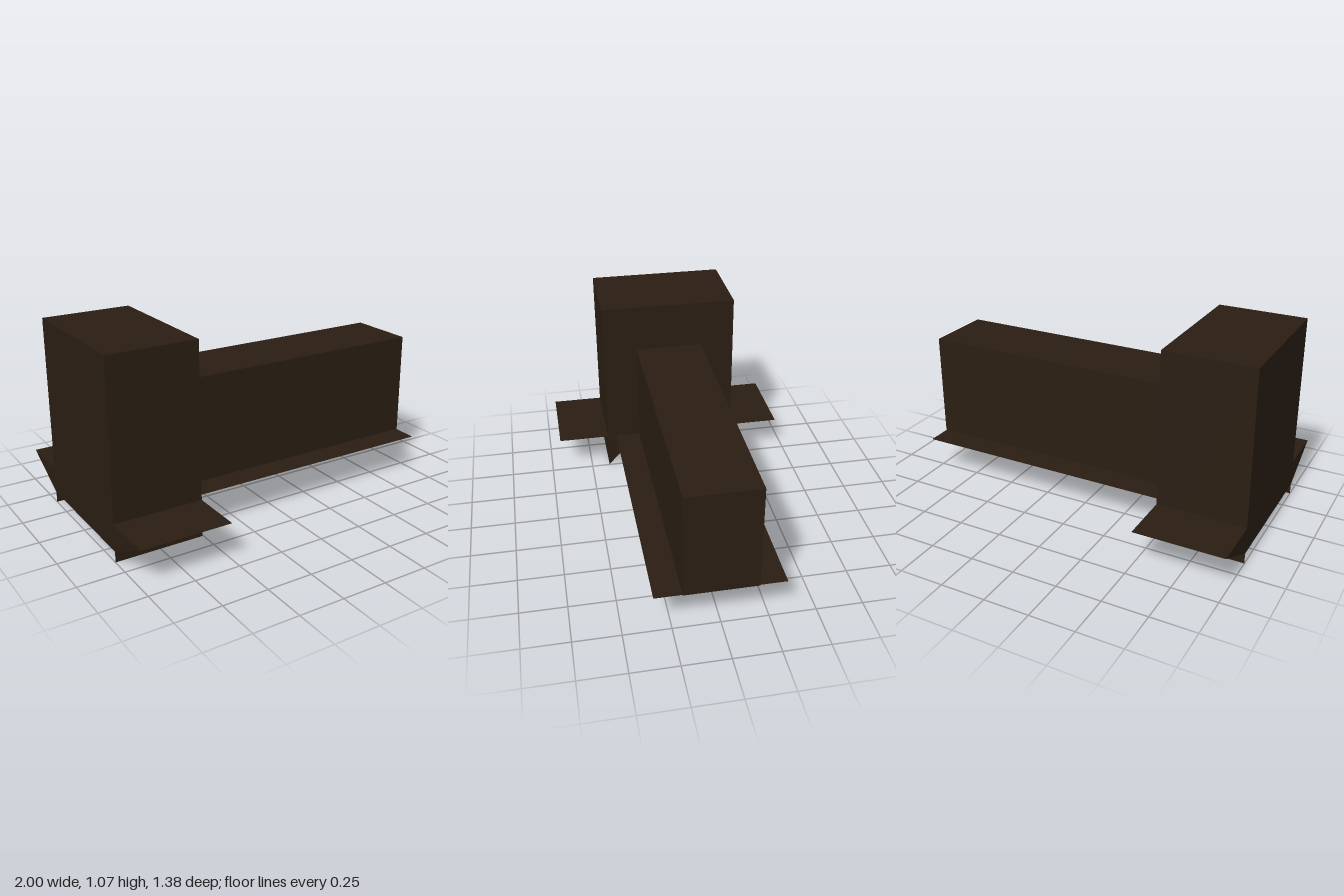
import * as THREE from 'three';

const material = new THREE.MeshStandardMaterial({
  color: 0x2a1e13, flatShading: true, side: THREE.DoubleSide,
});

export function createModel() {
  const model = new THREE.Group();

  const add = (name, geometry) => {
    const mesh = new THREE.Mesh(geometry, material);
    mesh.name = name;
    model.add(mesh);
  };
  // Horizontal sheet at height y
  const sheet = (name, y, x0, x1, z0, z1) => add(name,
    new THREE.PlaneGeometry(x1 - x0, z1 - z0).rotateX(-Math.PI / 2)
      .translate((x0 + x1) / 2, y, (z0 + z1) / 2));
  // Long wall facing +z or -z
  const wall = (name, z, x0, x1, y0, y1) => add(name,
    new THREE.PlaneGeometry(x1 - x0, y1 - y0).rotateY(z > 0 ? 0 : Math.PI)
      .translate((x0 + x1) / 2, (y0 + y1) / 2, z));
  // End panel across x, mirrored from its half outline of [z, y] points;
  // side is +1 or -1 for the way it faces
  const endPanel = (name, x, side, half) => {
    const outline = [...half, ...half.map(([z, y]) => [-z, y]).reverse()];
    const shape = new THREE.Shape(outline.map(([z, y]) => new THREE.Vector2(-side * z, y)));
    add(name, new THREE.ShapeGeometry(shape).rotateY(side * Math.PI / 2).translate(x, 0, 0));
  };

  const floorY = 0.21, join = -0.505;

  // Tall block: open underneath, notched inner end, flared outer end
  sheet('towerTop', 1.07, -1, join, -0.392, 0.392);
  endPanel('towerInnerEnd', join, 1, [[0.392, 1.07], [0.392, 0], [0.195, floorY]]);
  endPanel('towerOuterEnd', -1, -1,
    [[0.392, 1.07], [0.392, floorY], [0.69, floorY], [0.392, 0.06]]);

  // Long low block
  sheet('hallTop', 0.8, join, 1, -0.195, 0.195);
  endPanel('hallEnd', 1, 1, [[0.195, 0.8], [0.195, floorY]]);

  // Side walls and side ledges
  for (const s of [-1, 1]) {
    wall('towerSide', s * 0.392, -1, join, 0, 1.07);
    wall('hallSide', s * 0.195, join, 1, floorY, 0.8);
    sheet('towerLedge', floorY, -1, join, Math.min(s * 0.392, s * 0.69), Math.max(s * 0.392, s * 0.69));
  }

  // Floor sheets
  sheet('towerFloor', floorY, -0.985, join, -0.392, 0.392);
  sheet('hallFloor', floorY, join, 0.995, -0.34, 0.34);

  return model;
}
